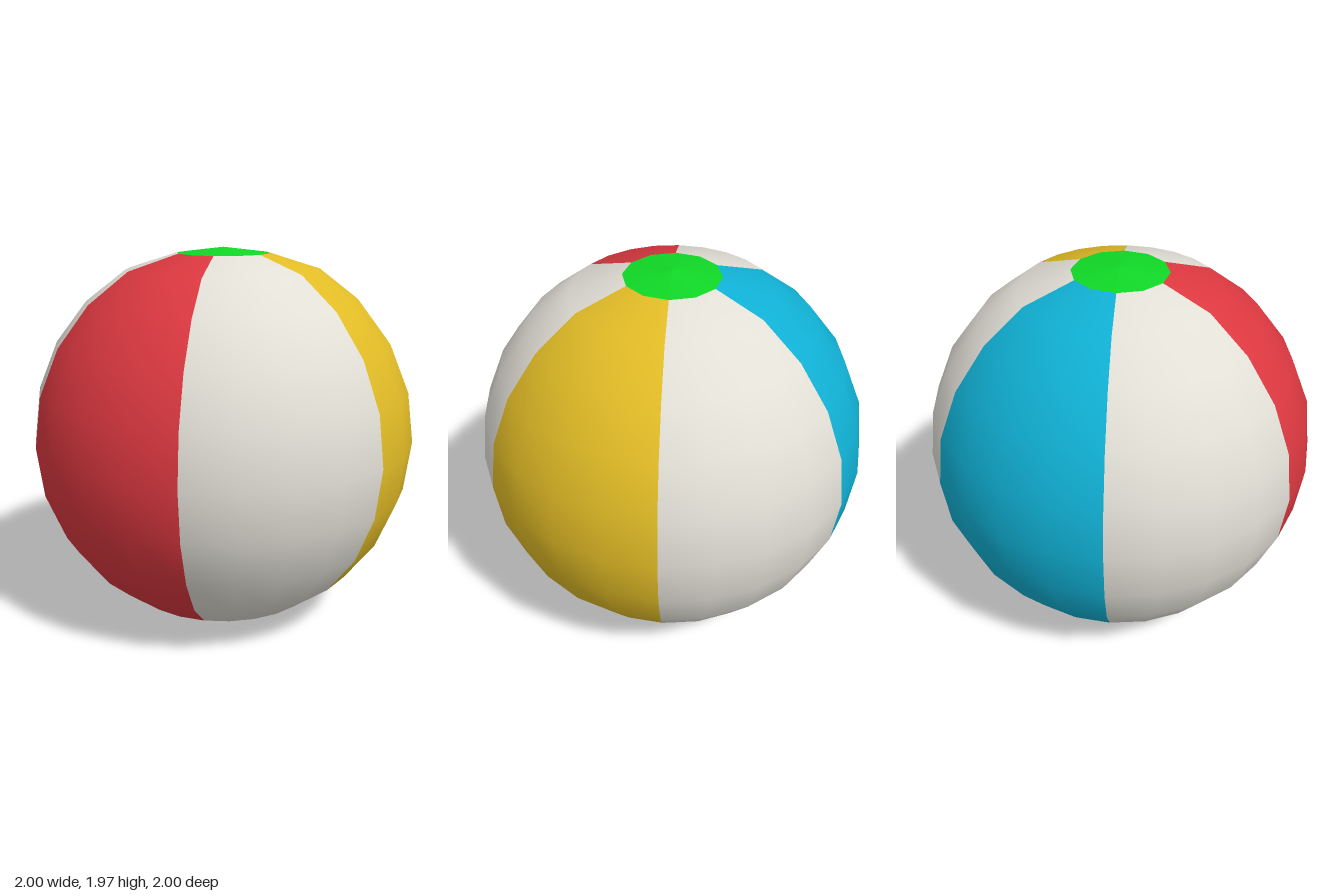
import * as THREE from 'three';

const CENTER_Y = 0.985;
const DEG = Math.PI / 180;
const START = 114.7 * DEG; // first seam
const CAP_R = 0.242, CAP_Y = 0.955, POLE_Y = 0.985;

function material(name, hex) {
  const m = new THREE.MeshStandardMaterial({ color: hex });
  m.name = name;
  return m;
}

// One 60 degree panel, from the lower cap ring to the upper one
function panelGeometry(phiStart) {
  const profile = [new THREE.Vector2(CAP_R, -CAP_Y)];
  for (let e = -60; e <= 60; e += 15) {
    profile.push(new THREE.Vector2(1.004 * Math.cos(e * DEG), 1.008 * Math.sin(e * DEG)));
  }
  profile.push(new THREE.Vector2(CAP_R, CAP_Y));
  const geo = new THREE.LatheGeometry(profile, 4, phiStart, 60 * DEG);

  // Pull every other end vertex onto the straight edges of the 12-sided caps
  const pos = geo.attributes.position;
  const n = profile.length;
  const k = Math.cos(15 * DEG);
  for (const segment of [1, 3]) {
    for (const i of [segment * n, segment * n + n - 1]) {
      pos.setXYZ(i, pos.getX(i) * k, pos.getY(i), pos.getZ(i) * k);
    }
  }
  return geo;
}

// Shallow 12-sided cap; side is 1 for the top and -1 for the bottom
function capGeometry(side) {
  const profile = [new THREE.Vector2(CAP_R, side * CAP_Y), new THREE.Vector2(0, side * POLE_Y)];
  if (side < 0) profile.reverse();
  return new THREE.LatheGeometry(profile, 12, START);
}

export function createModel() {
  const group = new THREE.Group();
  group.name = 'beachBall';

  const white = material('white', 0xe2dfd6);
  const blue = material('blue', 0x10b0d4);
  const red = material('red', 0xdc3840);
  const yellow = material('yellow', 0xe2bc26);
  const green = material('green', 0x10d826);
  const purple = material('purple', 0xc8609f);

  const add = (name, geometry, mat) => {
    const mesh = new THREE.Mesh(geometry, mat);
    mesh.name = name;
    mesh.position.y = CENTER_Y;
    group.add(mesh);
  };

  // Alternating coloured and white panels
  [blue, white, red, white, yellow, white].forEach((mat, i) => {
    add(`${mat.name}Panel${i + 1}`, panelGeometry(START + i * 60 * DEG), mat);
  });

  // Caps at the poles
  add('topCap', capGeometry(1), green);
  add('bottomCap', capGeometry(-1), purple);

  return group;
}
